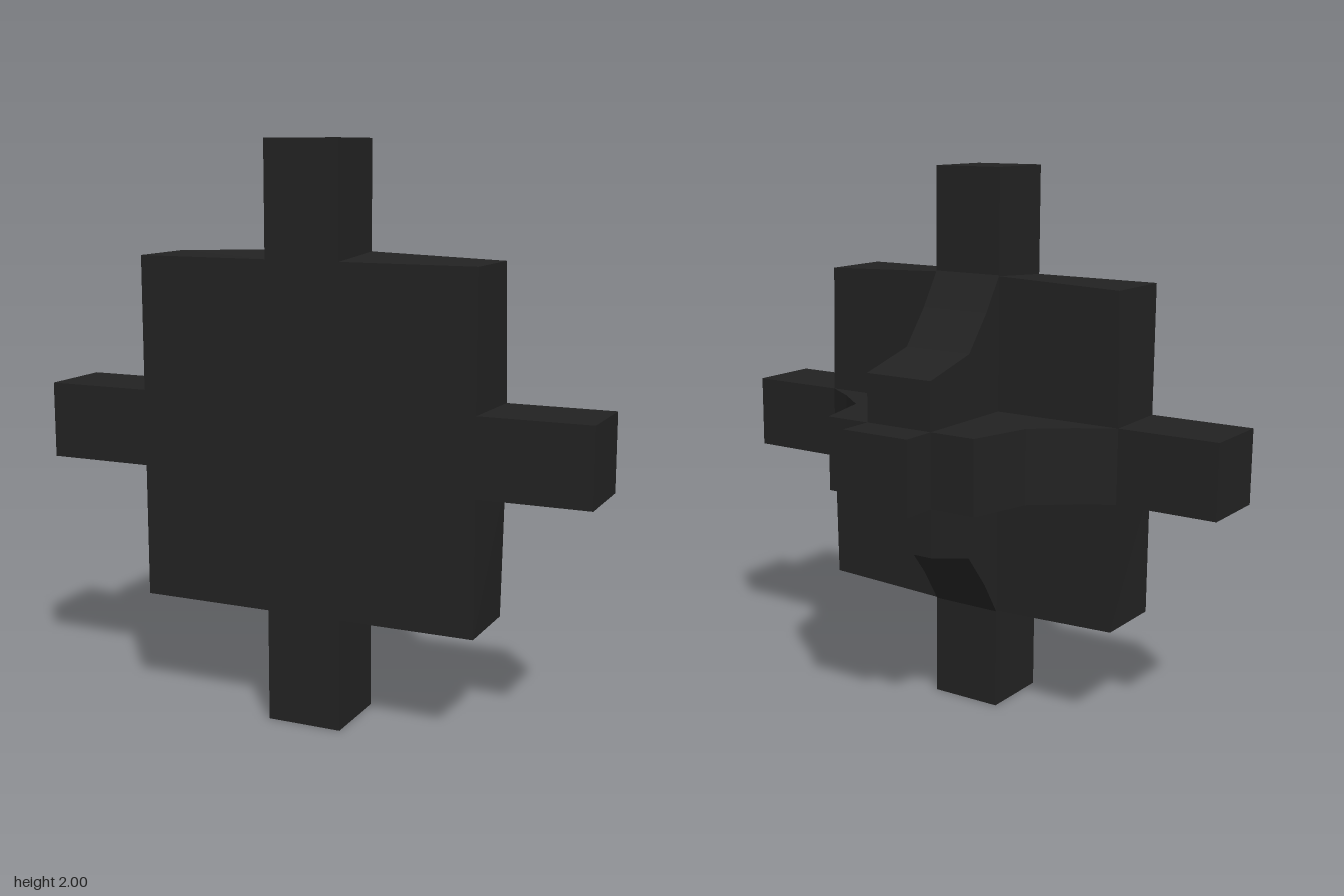
import * as THREE from 'three';

const BAR = 0.27;      // thickness of arms and ribs
const FRONT = 0.41;    // front face
const BACK = 0.14;     // rear face of the plate and arms
const MID_Y = 1;

export function createModel() {
  const group = new THREE.Group();
  const charcoal = new THREE.MeshStandardMaterial({ color: 0x222222 });
  charcoal.name = 'charcoal';

  const add = (name, geometry, x, y, z) => {
    const mesh = new THREE.Mesh(geometry, charcoal);
    mesh.name = name;
    mesh.position.set(x, y, z);
    group.add(mesh);
    return mesh;
  };

  // Square plate: straight edges in front, edges bowed out to the arms behind
  const h = BAR / 2, c = 0.615, m = 0.625;
  const outline = [
    [c, -c], [m, -h], [m, h], [c, c], [h, m], [-h, m],
    [-c, c], [-m, h], [-m, -h], [-c, -c], [-h, -m], [h, -m],
  ].map(([x, y]) => new THREE.Vector2(x, y * 0.995));
  const plate = new THREE.ExtrudeGeometry(new THREE.Shape(outline), {
    depth: FRONT - BACK, bevelEnabled: false,
  });
  const p = plate.attributes.position;
  for (let i = 0; i < p.count; i++) {
    const limit = p.getZ(i) > 0.1 ? 1 : 2;
    const cy = limit === 1 ? 0.605 : (Math.abs(p.getX(i)) > 0.5 ? 0.605 : m);
    const cx = limit === 1 ? c : m;
    p.setXY(i,
      THREE.MathUtils.clamp(p.getX(i), -cx, cx),
      THREE.MathUtils.clamp(p.getY(i), -cy, cy));
  }
  plate.computeVertexNormals();
  add('plate', plate, 0, MID_Y, BACK);

  // Four square arms reaching out from the plate
  const inner = 0.6, length = 1 - inner, middle = (1 + inner) / 2;
  const armZ = (FRONT + BACK) / 2;
  for (const s of [-1, 1]) {
    add(s > 0 ? 'leftArm' : 'rightArm',
      new THREE.BoxGeometry(length, BAR, BAR), s * middle, MID_Y, armZ);
    add(s > 0 ? 'topArm' : 'bottomArm',
      new THREE.BoxGeometry(BAR, length, BAR), 0, MID_Y + s * middle, armZ);
  }

  // Crossed ribs on the back, each tapering in angled steps
  const side = [[0.625, -BACK], [0.5, -0.06], [0.37, 0.045], [0.31, 0.275]];
  const profile = [...side, ...side.map(([x, y]) => [-x, y]).reverse()]
    .map(([x, y]) => new THREE.Vector2(x, y));
  const rib = new THREE.ExtrudeGeometry(new THREE.Shape(profile), {
    depth: BAR, bevelEnabled: false,
  });
  rib.translate(0, 0, -BAR / 2);
  rib.rotateX(-Math.PI / 2);
  add('horizontalRib', rib, 0, MID_Y, 0);
  add('verticalRib', rib.clone().rotateZ(Math.PI / 2), 0, MID_Y, 0);

  // Short square stub at the rear centre
  add('rearStub', new THREE.BoxGeometry(BAR, BAR, 0.16), 0, MID_Y, -0.33);

  return group;
}
